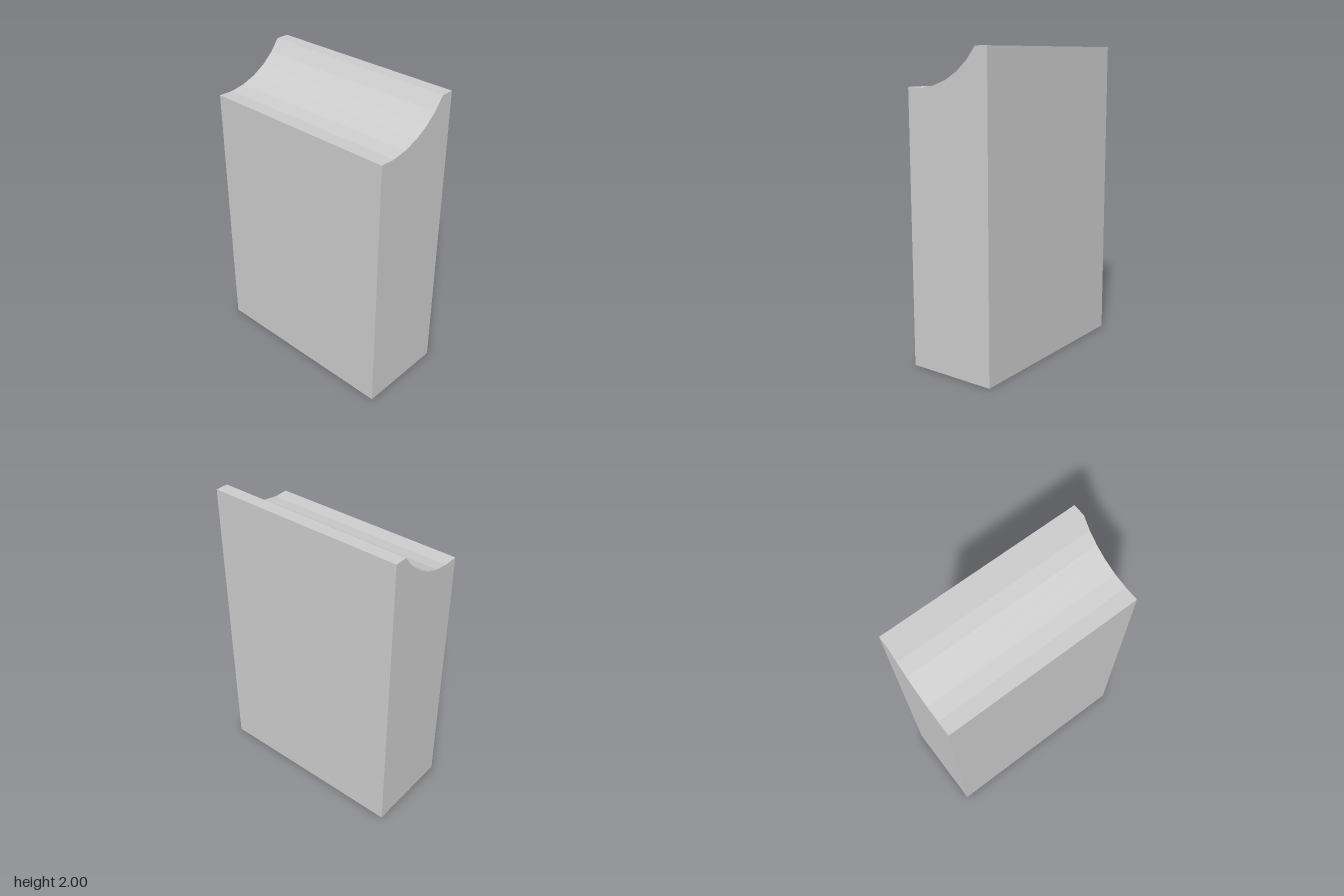
import * as THREE from 'three';

const HALF_WIDTH = 0.3, HEIGHT = 2, DEPTH = 1.333;

export function createModel() {
  const group = new THREE.Group();
  group.name = 'groovedBlock';

  // Upright block outline with a flat rim on the left
  const profile = new THREE.Shape();
  profile.moveTo(-HALF_WIDTH, 0);
  profile.lineTo(HALF_WIDTH, 0);
  profile.lineTo(HALF_WIDTH, HEIGHT);

  // Concave faceted trough, from the rim down to the right edge
  const radius = 0.538, cx = -0.235, cy = 1.757 + radius;
  const start = 0.99, end = -0.121, segments = 6;
  for (let i = 0; i <= segments; i++) {
    const a = start + (end - start) * i / segments;
    const x = i === segments ? -HALF_WIDTH : cx + radius * Math.sin(a);
    const y = i === 0 ? HEIGHT : cy - radius * Math.cos(a);
    profile.lineTo(x, y);
  }
  profile.closePath();

  const geometry = new THREE.ExtrudeGeometry(profile, { depth: DEPTH, bevelEnabled: false });
  geometry.translate(0, 0, -DEPTH / 2);

  const block = new THREE.Mesh(
    geometry,
    new THREE.MeshStandardMaterial({ color: 0xcccccc, flatShading: true })
  );
  block.name = 'block';
  group.add(block);
  return group;
}
